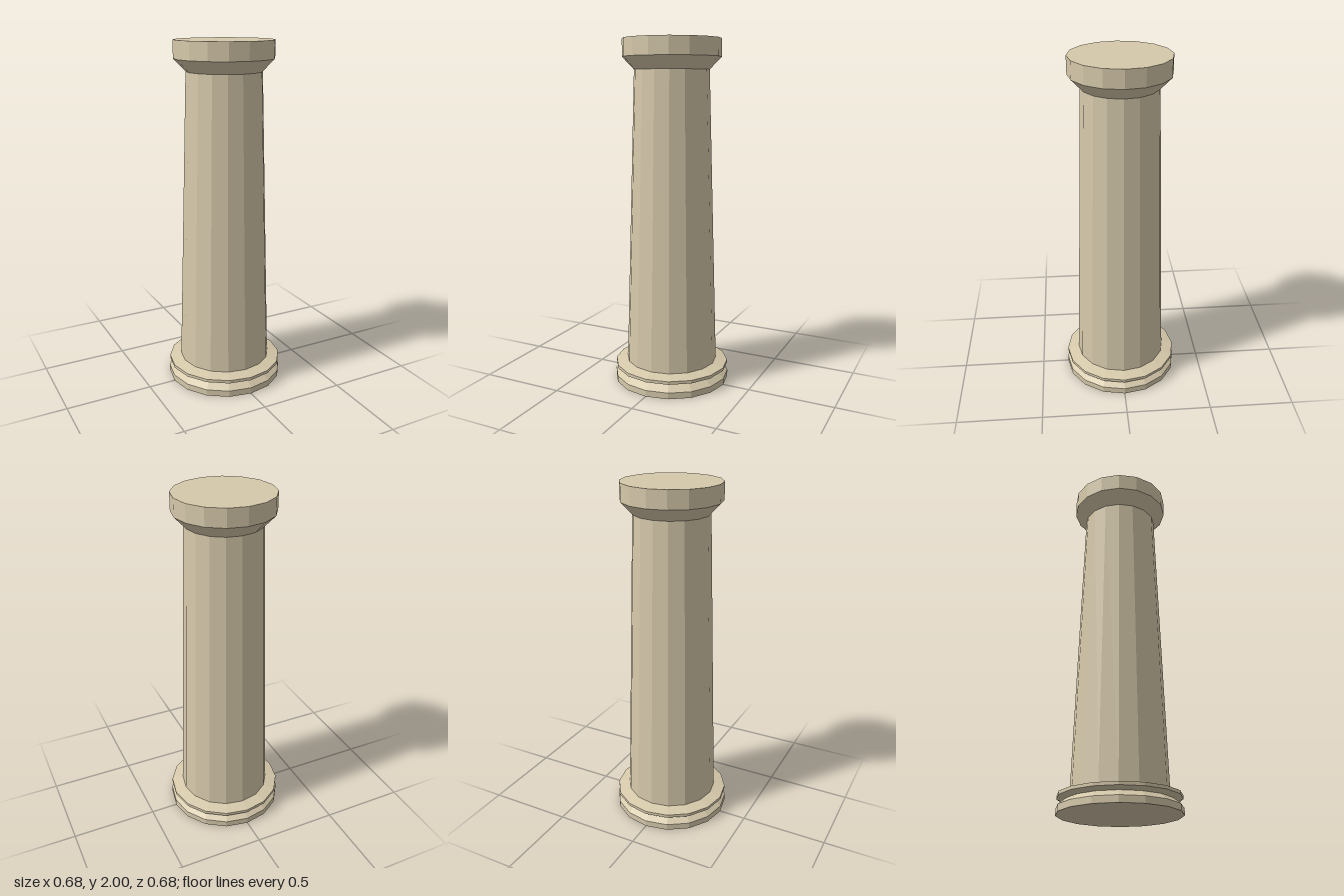
import * as THREE from 'three';

const SIDES = 16;

export function createModel() {
  const column = new THREE.Group();
  column.name = 'column';

  const stone = new THREE.MeshStandardMaterial({ color: 0xd6c9ab, flatShading: true });
  stone.name = 'sandstone';

  // Turns a bottom-to-top [radius, height] profile into a faceted part
  const turned = (name, profile) => {
    const points = profile.map(([r, y]) => new THREE.Vector2(r, y));
    const mesh = new THREE.Mesh(new THREE.LatheGeometry(points, SIDES), stone);
    mesh.name = name;
    column.add(mesh);
  };

  // Moulded foot: plinth, narrow waist and upper ring
  turned('base', [
    [0, 0], [0.34, 0], [0.34, 0.037], [0.298, 0.07],
    [0.337, 0.086], [0.337, 0.104], [0.268, 0.12],
  ]);

  // Tapering shaft
  turned('shaft', [[0.268, 0.12], [0.214, 1.83]]);

  // Flared capital with a flat top
  turned('capital', [[0.214, 1.83], [0.281, 1.9], [0.281, 2], [0, 2]]);

  return column;
}
